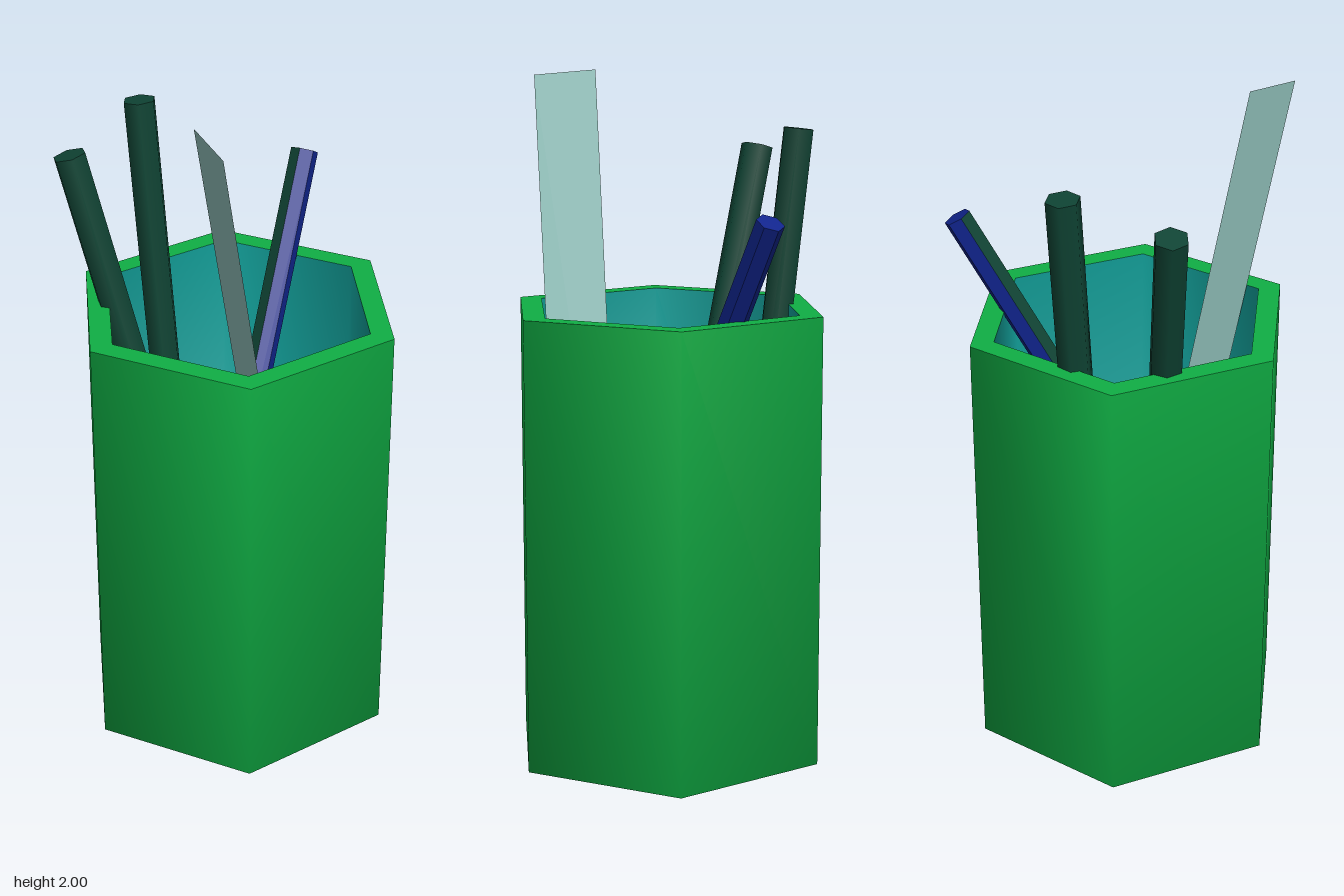
import * as THREE from 'three';

const mat = (name, color) => {
  const m = new THREE.MeshStandardMaterial({ color });
  m.name = name;
  return m;
};

export function createModel() {
  const green = mat('green', 0x10b045);
  const teal = mat('teal', 0x12a09a);
  const darkGreen = mat('dark green', 0x0f4434);
  const blue = mat('blue', 0x10248c);
  const pale = mat('pale glass', 0x98cac4);
  pale.side = THREE.DoubleSide;

  const model = new THREE.Group();
  model.name = 'pencilCup';
  const add = (parent, name, geometry, material) => {
    const mesh = new THREE.Mesh(geometry, material);
    mesh.name = name;
    parent.add(mesh);
    return mesh;
  };

  // Six-sided cup: smooth shell and lining, flat rim
  const R = 0.488, r = 0.416, H = 1.325, floor = 0.12;
  const turn = THREE.MathUtils.degToRad(-9);
  const lathe = (points) => new THREE.LatheGeometry(
    points.map(([x, y]) => new THREE.Vector2(x, y)), 6, turn);
  add(model, 'cupShell', lathe([[0, 0], [R, 0], [R, H]]), green);
  add(model, 'cupRim', lathe([[R, H], [r, H]]), green);
  add(model, 'cupLining', lathe([[r, H], [r, floor], [0, floor]]), teal);

  // Places a y-aligned part between two points
  const span = (object, a, b) => {
    object.position.copy(a).add(b).multiplyScalar(0.5);
    object.quaternion.setFromUnitVectors(
      new THREE.Vector3(0, 1, 0), b.clone().sub(a).normalize());
  };
  const v = (x, y, z) => new THREE.Vector3(x, y, z);

  // Two dark hexagonal pencils
  const pencils = [
    ['uprightPencil', v(-0.213, 0.14, 0.003), v(-0.395, 1.836, 0.003), 45],
    ['leaningPencil', v(0.015, 0.14, 0.075), v(-0.355, 1.768, 0.3), 0],
  ];
  for (const [name, a, b, angle] of pencils) {
    const geometry = new THREE.CylinderGeometry(0.049, 0.049, a.distanceTo(b), 6, 1,
      false, THREE.MathUtils.degToRad(angle));
    span(add(model, name, geometry, darkGreen), a, b);
  }

  // Blue hexagonal pen with one dark face
  const pen = new THREE.Group();
  pen.name = 'pen';
  const a = v(0.13, 0.15, 0.31), b = v(-0.178, 1.61, -0.455);
  const length = a.distanceTo(b), radius = 0.041;
  const ridge = THREE.MathUtils.degToRad(21.7), step = Math.PI / 3;
  for (let i = 0; i < 6; i++) {
    const face = new THREE.CylinderGeometry(radius, radius, length, 1, 1, true,
      ridge + i * step, step).toNonIndexed();
    face.computeVertexNormals();
    add(pen, i === 5 ? 'penDarkFace' : 'penFace', face, i === 5 ? darkGreen : blue);
  }
  for (const side of [1, -1]) {
    const cap = add(pen, 'penEnd',
      new THREE.CircleGeometry(radius, 6, side > 0 ? ridge - Math.PI / 2 : Math.PI / 2 - ridge), blue);
    cap.rotation.x = -side * Math.PI / 2;
    cap.position.y = side * length / 2;
  }
  span(pen, a, b);
  model.add(pen);

  // Thin ruler sheet leaning on the front wall
  const ruler = new THREE.BufferGeometry();
  ruler.setAttribute('position', new THREE.Float32BufferAttribute([
    0.145, 0.15, -0.065, 0.315, 0.135, -0.005,
    0.322, 1.984, 0.352, 0.148, 2, 0.292], 3));
  ruler.setIndex([0, 1, 2, 0, 2, 3]);
  ruler.computeVertexNormals();
  add(model, 'ruler', ruler, pale);

  return model;
}
